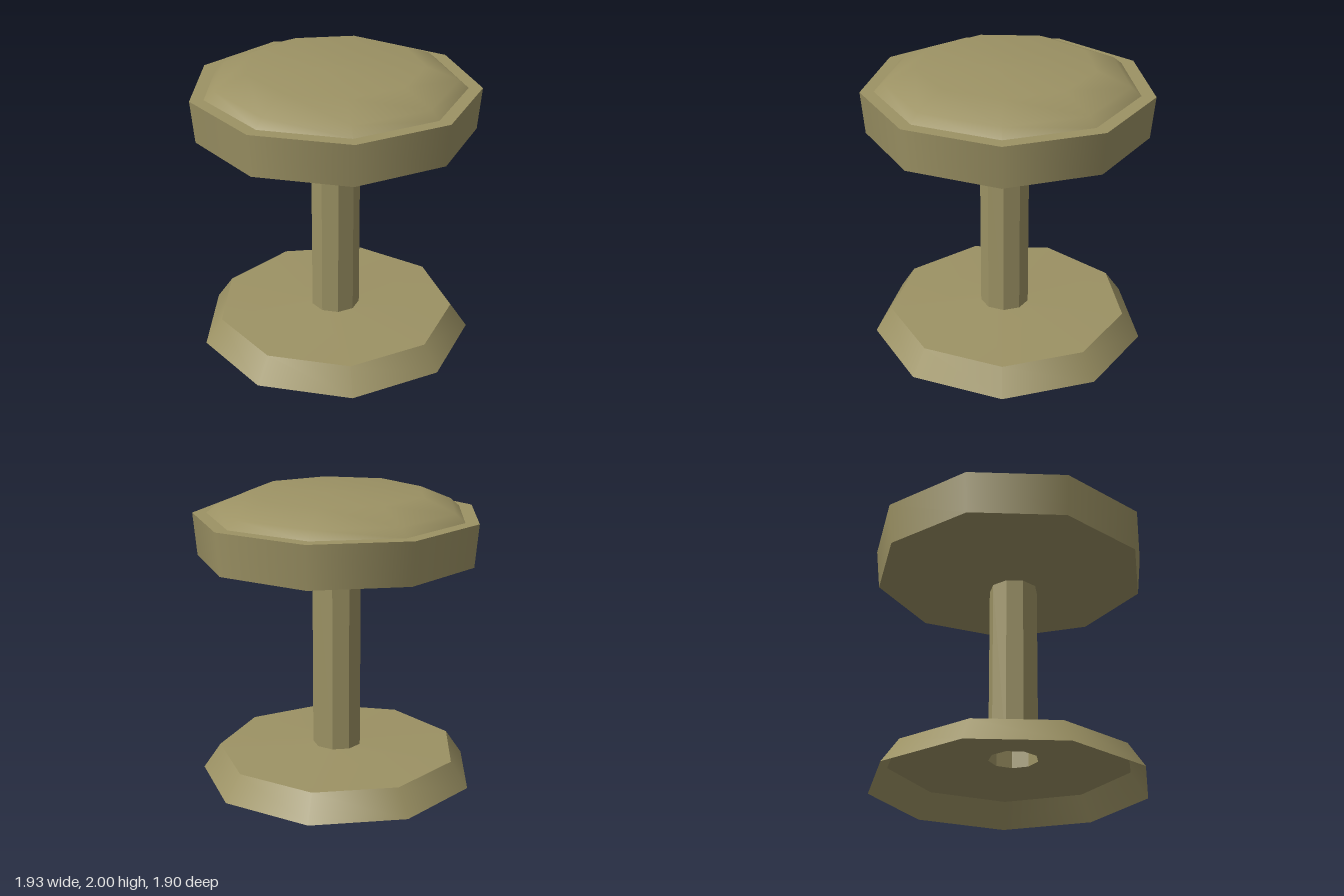
import * as THREE from 'three';

const SIDES = 9;

// Nine-sided ring surface with a point at the front; each ring is centred on its own depth
function band(profile, flat = false) {
  let geo = new THREE.LatheGeometry(profile.map(([r, y]) => new THREE.Vector2(r, y)), SIDES);
  const pos = geo.attributes.position;
  for (let i = 0; i < pos.count; i++) {
    const r = Math.hypot(pos.getX(i), pos.getZ(i));
    pos.setZ(i, pos.getZ(i) - 0.03 * r);
  }
  if (flat) {
    geo = geo.toNonIndexed();
    geo.computeVertexNormals();
  }
  return geo;
}

export function createModel() {
  const group = new THREE.Group();
  group.name = 'stool';
  const olive = new THREE.MeshStandardMaterial({ color: 0x9c9264, side: THREE.DoubleSide });
  olive.name = 'olive';

  const add = (name, profile, flat) => {
    const mesh = new THREE.Mesh(band(profile, flat), olive);
    mesh.name = name;
    group.add(mesh);
  };

  // Foot: hollow shell, open underneath
  add('footSide', [[0.955, 0], [0.835, 0.175]]);
  add('footTop', [[0.835, 0.175], [0.17, 0.2]]);

  // Faceted open column
  add('column', [[0.17, 0.2], [0.17, 1.465]], true);

  // Seat pan
  add('seatUnderside', [[0.17, 1.465], [0.953, 1.555]]);
  add('seatSide', [[0.953, 1.555], [0.98, 1.845]]);
  add('seatRim', [[0.98, 1.845], [0.885, 1.845]]);

  // Soft domed cushion
  add('cushion', [[0.885, 1.845], [0.82, 1.9], [0.6, 1.993], [0, 2]]);

  return group;
}
